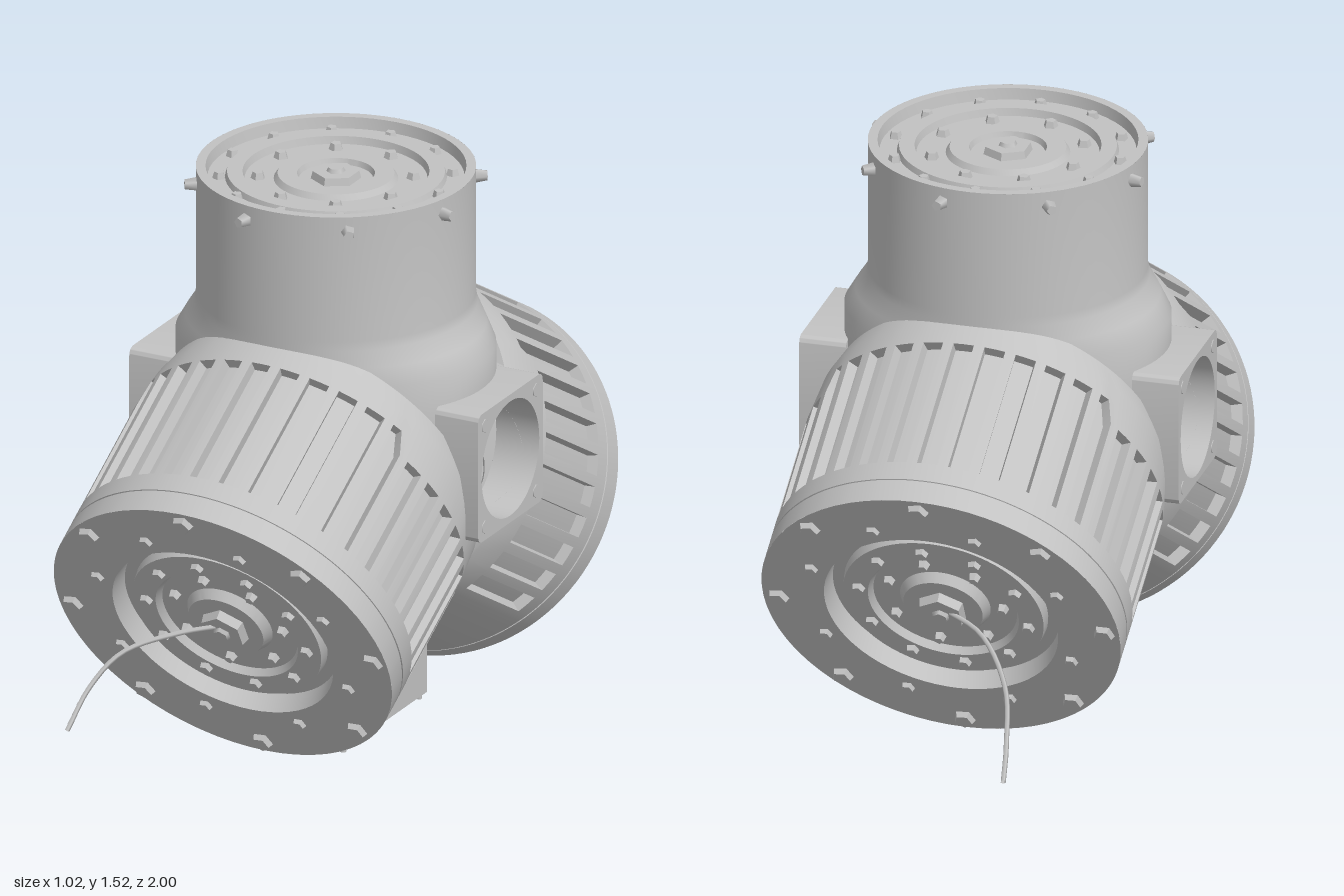
import * as THREE from 'three';
import { toCreasedNormals } from 'three/addons/utils/BufferGeometryUtils.js';
import { ConvexGeometry } from 'three/addons/geometries/ConvexGeometry.js';

const grey = new THREE.MeshStandardMaterial({ color: 0xc2c2c2, side: THREE.DoubleSide });
grey.name = 'machined grey';

const CY = 0.81, CZ = -0.015;         // where the three arms meet
const R = 0.475, END = 0.715, PORT = 0.158, SLOTS = 36, SLOT_DEPTH = 0.03;
const TAU = Math.PI * 2;

function add(parent, name, geo, x = 0, y = 0, z = 0) {
  const m = new THREE.Mesh(geo, grey);
  m.name = name;
  m.position.set(x, y, z);
  parent.add(m);
  return m;
}

// Surface from a grid of points, wrapped in the first direction
function gridGeometry(columns) {
  const pos = [], a = new THREE.Vector3(), b = new THREE.Vector3();
  const tri = (p, q, r) => {
    a.subVectors(q, p); b.subVectors(r, p);
    if (a.cross(b).length() > 1e-8) for (const v of [p, q, r]) pos.push(v.x, v.y, v.z);
  };
  columns.forEach((c, i) => {
    const d = columns[(i + 1) % columns.length];
    for (let j = 0; j < c.length - 1; j++) {
      tri(c[j], c[j + 1], d[j]);
      tri(d[j], c[j + 1], d[j + 1]);
    }
  });
  const g = new THREE.BufferGeometry();
  g.setAttribute('position', new THREE.Float32BufferAttribute(pos, 3));
  return toCreasedNormals(g, 0.6);
}

// The arm starts where it meets its neighbours, and leaves the side port open
function armStart(t, limit) {
  const hole = Math.abs(t) < PORT ? Math.sqrt(PORT * PORT - t * t) : 0;
  const mitre = Math.abs(t) * 0.577;
  return Math.max(hole, t > 0 ? Math.min(mitre, limit) : mitre);
}

// Drum wall: recessed cooling slots everywhere but underneath
function drumWall() {
  const columns = [];
  const column = (phi, inSlot) => {
    const t = R * Math.sin(phi), s0 = armStart(t, 0.1);
    const slotFrom = t > 0.3 ? 0.2 : 0.26;
    const rows = [[0, 0], [0.05, 0], [0.1, 0], [0.15, 0], [slotFrom, 0], [slotFrom, 1], [0.59, 1], [0.59, 0],
      [0.645, 0], [0.646, 0.1], [0.65, 0.1], [0.651, 0], [END, 0]];
    columns.push(rows.map(([s, cut]) => {
      const y = Math.max(s, s0);
      const depth = cut === 1 ? (inSlot ? SLOT_DEPTH : 0) : cut * SLOT_DEPTH;
      const squeeze = THREE.MathUtils.lerp(0.9, 1, THREE.MathUtils.smoothstep(y, 0.05, 0.2));
      const r = R - depth;
      return new THREE.Vector3(r * Math.cos(phi) * squeeze, y, -r * Math.sin(phi));
    }));
  };
  const step = TAU / SLOTS;
  for (let i = 0; i < SLOTS; i++) {
    const mid = i * step;
    const cut = Math.sin(mid) > -0.7;
    const h = step * 0.33;
    column(mid - h, false);
    for (const k of [-h, 0, h]) column(mid + k, cut);
    column(mid + h, false);
    column(mid + step / 2, false);
  }
  return gridGeometry(columns);
}

// Upright neck, with shoulders that widen towards the side ports only
function neckWall() {
  const columns = [];
  const rows = [[0, 0.425], [0.12, 0.425], [0.25, 0.425], [0.3, 0.395], [0.345, 0.365], [0.37, 0.36], [END, 0.36]];
  for (let i = 0; i < 96; i++) {
    const phi = i / 96 * TAU, t = 0.36 * Math.sin(phi), s0 = armStart(-Math.abs(t), 0);
    columns.push(rows.map(([s, rx]) => new THREE.Vector3(rx * Math.cos(phi), Math.max(s, s0), -t)));
  }
  return gridGeometry(columns);
}

function lathe(points, sides = 64) {
  return toCreasedNormals(new THREE.LatheGeometry(points.map(p => new THREE.Vector2(...p)), sides), 0.5);
}

// Ring of small faceted bolts standing on an end face
function boltRing(parent, name, count, ring, y, size, height, offset = 0) {
  const geo = new THREE.CylinderGeometry(size * 0.65, size, height, 5).toNonIndexed();
  geo.computeVertexNormals();
  for (let i = 0; i < count; i++) {
    const a = offset + i / count * TAU;
    add(parent, name, geo, ring * Math.cos(a), y, ring * Math.sin(a)).rotation.y = i * 1.3;
  }
}

function hub(parent, y) {
  const nut = new THREE.CylinderGeometry(0.06, 0.07, 0.04, 6).toNonIndexed();
  nut.computeVertexNormals();
  add(parent, 'hubNut', nut, 0, y, 0);
  add(parent, 'hubPin', new THREE.CylinderGeometry(0.02, 0.03, 0.02, 6), 0, y + 0.02, 0);
}

function drum(wall) {
  const g = new THREE.Group();
  g.name = 'drum';
  add(g, 'slottedWall', wall);
  add(g, 'endPlate', lathe([[R, END], [0.31, END], [0.3, 0.66], [0.27, 0.66], [0.265, 0.69], [0.2, 0.69],
    [0.19, 0.67], [0.12, 0.67], [0.105, 0.695], [0, 0.695]]));
  boltRing(g, 'rimBolt', 8, 0.435, END, 0.036, 0.03);
  boltRing(g, 'plateBolt', 8, 0.355, END, 0.023, 0.025, Math.PI / 8);
  boltRing(g, 'innerBolt', 10, 0.225, 0.69, 0.022, 0.03, 0.2);
  boltRing(g, 'hubBolt', 7, 0.155, 0.675, 0.018, 0.03);
  hub(g, 0.7);
  g.rotation.x = Math.PI * 2 / 3;
  return g;
}

// Square flange with a round opening and corner bolts
function portFlange() {
  const h = 0.177, c = 0.025, shape = new THREE.Shape();
  shape.moveTo(-h + c, -h);
  shape.lineTo(h - c, -h); shape.quadraticCurveTo(h, -h, h, -h + c);
  shape.lineTo(h, h - c); shape.quadraticCurveTo(h, h, h - c, h);
  shape.lineTo(-h + c, h); shape.quadraticCurveTo(-h, h, -h, h - c);
  shape.lineTo(-h, -h + c); shape.quadraticCurveTo(-h, -h, -h + c, -h);
  shape.holes.push(new THREE.Path().absarc(0, 0, PORT, 0, TAU, true));
  const g = new THREE.Group();
  g.name = 'portFlange';
  const geo = new THREE.ExtrudeGeometry(shape, { depth: 0.125, bevelEnabled: false, curveSegments: 24 });
  add(g, 'flangePlate', toCreasedNormals(geo, 0.5), 0, 0, 0.382);
  for (const x of [-1, 1]) for (const y of [-1, 1]) {
    add(g, 'flangeBolt', new THREE.CylinderGeometry(0.018, 0.022, 0.012, 6), x * 0.14, y * 0.14, 0.503)
      .rotation.x = Math.PI / 2;
  }
  return g;
}

function wire(parent, points) {
  const curve = new THREE.CatmullRomCurve3(points.map(p => new THREE.Vector3(...p)));
  add(parent, 'wire', new THREE.TubeGeometry(curve, 20, 0.007, 5));
}

export function createModel() {
  const model = new THREE.Group();
  model.name = 'threeWayHousing';
  const body = new THREE.Group();
  body.name = 'body';
  body.position.set(0, CY, CZ);
  model.add(body);

  // Two drums sloping down, front and back
  const wall = drumWall();
  for (const turn of [0, Math.PI]) {
    const side = new THREE.Group();
    side.name = turn ? 'backDrum' : 'frontDrum';
    side.rotation.y = turn;
    side.add(drum(wall));
    body.add(side);
  }

  // Neck with its ringed cap and side screws
  const neck = new THREE.Group();
  neck.name = 'neck';
  body.add(neck);
  add(neck, 'neckWall', neckWall());
  add(neck, 'neckCap', lathe([[0.36, END], [0.335, END], [0.33, 0.685], [0.285, 0.685], [0.28, 0.7], [0.24, 0.7],
    [0.235, 0.68], [0.16, 0.68], [0.15, 0.695], [0.1, 0.695], [0.095, 0.68], [0, 0.68]]));
  boltRing(neck, 'capBolt', 12, 0.3, 0.69, 0.02, 0.025);
  boltRing(neck, 'capInnerBolt', 8, 0.2, 0.685, 0.022, 0.025, 0.3);
  hub(neck, 0.68);
  for (let i = 0; i < 8; i++) {
    const a = 0.21 + i * Math.PI / 4;
    const screw = add(neck, 'neckScrew', new THREE.CylinderGeometry(0.014, 0.022, 0.05, 5),
      0.365 * Math.cos(a), 0.675, 0.365 * Math.sin(a));
    screw.rotation.set(0, -a, -Math.PI / 2);
  }

  // Open ports on both sides
  for (const s of [-1, 1]) {
    const port = portFlange();
    port.rotation.y = s * Math.PI / 2;
    body.add(port);
  }

  // Foot block with a gabled web running up between the drums
  add(model, 'footBlock', new THREE.BoxGeometry(0.28, 0.17, 0.43), 0.01, 0.105, CZ);
  const web = [];
  for (const x of [-1, 1]) {
    web.push(new THREE.Vector3(x * 0.3, 0.4, 0));
    for (const z of [-0.215, 0.215]) web.push(new THREE.Vector3(0.01 + x * 0.14, 0.185, z));
  }
  add(model, 'footWeb', new ConvexGeometry(web), 0, 0, CZ);
  for (const x of [-0.11, 0.13]) for (const z of [-0.225, 0.19]) {
    add(model, 'footPin', new THREE.CylinderGeometry(0.008, 0.008, 0.03, 6), x, 0.015, z);
  }

  // Loose wires from the drum hubs
  wire(model, [[0, 0.47, 0.6], [-0.09, 0.46, 0.68], [-0.19, 0.43, 0.8], [-0.235, 0.36, 0.89], [-0.245, 0.275, 0.995]]);
  wire(model, [[0, 0.47, -0.63], [-0.12, 0.43, -0.68], [-0.21, 0.33, -0.77], [-0.245, 0.22, -0.88], [-0.27, 0.165, -0.995]]);
  return model;
}
